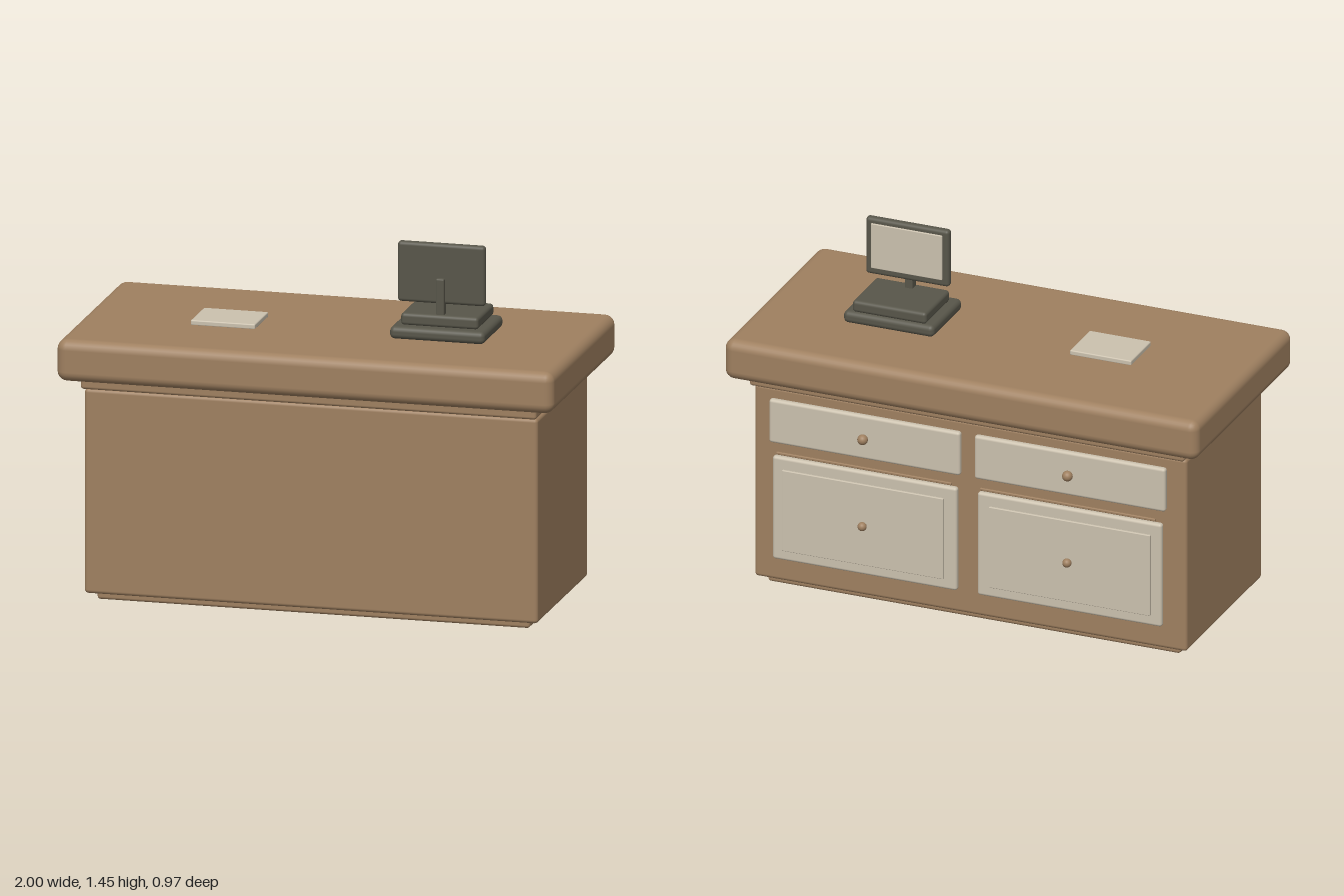
import * as THREE from 'three';
import { RoundedBoxGeometry } from 'three/addons/geometries/RoundedBoxGeometry.js';

const material = (name, color) => {
  const m = new THREE.MeshStandardMaterial({ color });
  m.name = name;
  return m;
};

export function createModel() {
  const wood = material('wood', 0x9f8060);
  const cream = material('cream', 0xcbc1ae);
  const dark = material('dark plastic', 0x58564a);

  const desk = new THREE.Group();
  desk.name = 'counterDesk';

  // Rounded box given by its limits on each axis
  const box = (parent, name, mat, [x0, x1], [y0, y1], [z0, z1], radius) => {
    const geometry = new RoundedBoxGeometry(x1 - x0, y1 - y0, z1 - z0, 3, radius);
    const mesh = new THREE.Mesh(geometry, mat);
    mesh.position.set((x0 + x1) / 2, (y0 + y1) / 2, (z0 + z1) / 2);
    mesh.name = name;
    parent.add(mesh);
    return mesh;
  };

  const knob = (parent, name, x, y, z, radius) => {
    const mesh = new THREE.Mesh(new THREE.SphereGeometry(radius, 20, 14), wood);
    mesh.position.set(x, y, z);
    mesh.name = name;
    parent.add(mesh);
  };

  // Cabinet body, plinth and worktop
  box(desk, 'plinth', wood, [-0.87, 0.87], [0, 0.05], [-0.342, 0.342], 0.012);
  box(desk, 'cabinet', wood, [-0.912, 0.912], [0.03, 0.853], [-0.377, 0.379], 0.015);
  box(desk, 'worktopLip', wood, [-0.917, 0.917], [0.86, 0.91], [-0.416, 0.418], 0.012);
  box(desk, 'worktop', wood, [-1, 1], [0.9, 1.068], [-0.484, 0.484], 0.04);

  // Drawers and doors on the back, one column on each side
  for (const side of [-1, 1]) {
    const column = new THREE.Group();
    column.name = side > 0 ? 'leftColumn' : 'rightColumn';
    const span = (a, b) => (side > 0 ? [a, b] : [-b, -a]);
    box(column, 'drawerFront', cream, span(0.03, 0.836), [0.63, 0.815], [-0.413, -0.384], 0.012);
    box(column, 'door', cream, span(0.043, 0.821), [0.135, 0.575], [-0.413, -0.384], 0.012);
    box(column, 'doorPanel', cream, span(0.096, 0.777), [0.18, 0.525], [-0.422, -0.41], 0.003);
    knob(column, 'drawerKnob', side * 0.432, 0.722, -0.43, 0.021);
    knob(column, 'doorKnob', side * 0.432, 0.352, -0.435, 0.018);
    // Slim rail between drawer and door
    box(column, 'rail', wood, span(0.06, 0.8), [0.59, 0.601], [-0.425, -0.415], 0.003);
    desk.add(column);
  }

  // Paper pad
  box(desk, 'paperPad', cream, [-0.553, -0.294], [1.066, 1.087], [-0.08, 0.12], 0.005);

  // Till with a screen facing the back
  const till = new THREE.Group();
  till.name = 'till';
  box(till, 'tillBase', dark, [0.25, 0.632], [1.07, 1.12], [-0.157, 0.138], 0.02);
  box(till, 'tillTop', dark, [0.285, 0.597], [1.118, 1.167], [-0.146, 0.097], 0.014);
  box(till, 'screenStem', dark, [0.423, 0.457], [1.155, 1.31], [0.046, 0.085], 0.006);
  box(till, 'screenCase', dark, [0.264, 0.616], [1.205, 1.446], [0.032, 0.067], 0.014);
  box(till, 'screen', cream, [0.29, 0.59], [1.235, 1.425], [0.025, 0.034], 0.003);
  desk.add(till);

  return desk;
}
